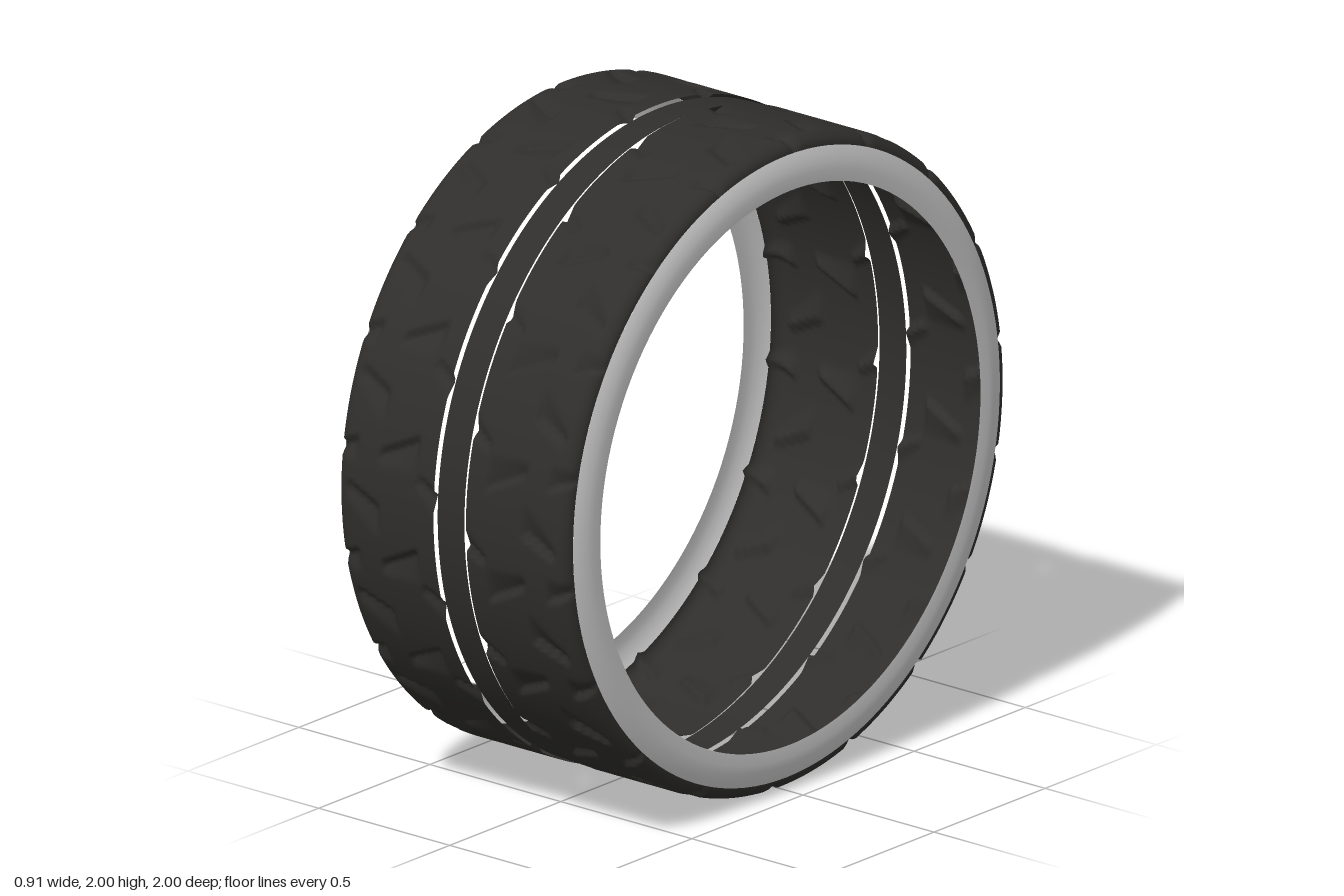
import * as THREE from 'three';
import { mergeVertices } from 'three/addons/utils/BufferGeometryUtils.js';

const rubber = new THREE.MeshStandardMaterial({ color: 0x2f2e2c, side: THREE.DoubleSide });
const grey = new THREE.MeshStandardMaterial({ color: 0xcccccc, side: THREE.DoubleSide });

// Slanted wedge cuts, repeated round the tread: x range, slope, angle offset, ramp length
const PITCHES = 18;
const CUTS = [
  { x0: 0.27, x1: 0.40, slope: -0.45, at: 0, ramp: 0.10 },
  { x0: 0.13, x1: 0.28, slope: 0.5, at: 0.17, ramp: 0.10 },
  { x0: 0.05, x1: 0.13, slope: -0.5, at: 0.27, ramp: 0.06 },
  { x0: 0.36, x1: 0.45, slope: 0.4, at: 0.2, ramp: 0.07 },
];

// Depth of the tread cuts at a position across (x) and around (angle)
function cutDepth(x, angle) {
  const pitch = (Math.PI * 2) / PITCHES;
  let depth = 0;
  for (const c of CUTS) {
    const along = (x - c.x0) / (c.x1 - c.x0);
    if (along <= 0 || along >= 1) continue;
    let t = angle - c.at - c.slope * (x - (c.x0 + c.x1) / 2);
    t -= pitch * Math.round(t / pitch);
    const ramp = c.ramp * (1 - 0.7 * along); // the wedge narrows to a point
    const wall = t < 0 ? 1 + t / 0.014 : 1 - t / ramp;
    const ends = Math.min(1, along / 0.1, (1 - along) / 0.1);
    depth = Math.max(depth, 0.02 * Math.max(0, wall) * ends);
  }
  return depth;
}

// Surface of revolution about the x axis from [x, radius] pairs
function ring(profile, segments, depthAt) {
  let geo = new THREE.LatheGeometry(profile.map(([x, r]) => new THREE.Vector2(r, x)), segments);
  geo.rotateZ(-Math.PI / 2);
  geo.deleteAttribute('uv');
  geo.deleteAttribute('normal');
  geo = mergeVertices(geo, 1e-5);
  if (depthAt) {
    const p = geo.attributes.position;
    for (let i = 0; i < p.count; i++) {
      const y = p.getY(i), z = p.getZ(i), r = Math.hypot(y, z);
      const k = 1 - depthAt(p.getX(i), Math.atan2(y, z)) / r;
      p.setXYZ(i, p.getX(i), y * k, z * k);
    }
  }
  geo.computeVertexNormals();
  return geo;
}

export function createModel() {
  const tyre = new THREE.Group();
  tyre.name = 'tyre';
  tyre.position.y = 1;

  // Tread profile: flat crown, then a rounded shoulder
  const tread = [];
  for (let i = 0; i <= 32; i++) tread.push([0.062 + (0.385 - 0.062) * i / 32, 1]);
  for (let i = 1; i <= 8; i++) {
    const a = (i / 8) * Math.PI / 2;
    tread.push([0.385 + 0.052 * Math.sin(a), 0.96 + 0.04 * Math.cos(a)]);
  }
  const treadGeo = ring(tread, 480, cutDepth);

  // Sidewall bulging out slightly, then in to the bead edge
  const wallGeo = ring([[0.437, 0.96], [0.446, 0.94], [0.452, 0.915], [0.455, 0.89], [0.452, 0.855]], 128);

  // The two halves are half-turned copies of each other
  for (const [side, turn] of [['left', 0], ['right', Math.PI]]) {
    const half = new THREE.Group();
    half.name = side + 'Half';
    half.rotation.z = turn;
    const band = new THREE.Mesh(treadGeo, rubber);
    band.name = side + 'Tread';
    const wall = new THREE.Mesh(wallGeo, grey);
    wall.name = side + 'Sidewall';
    half.add(band, wall);
    tyre.add(half);
  }

  // Plain centre rib, separated from the tread by open slots
  const rib = new THREE.Mesh(ring([[-0.051, 0.994], [0, 0.996], [0.051, 0.994]], 160), rubber);
  rib.name = 'centreRib';
  tyre.add(rib);

  const root = new THREE.Group();
  root.name = 'model';
  root.add(tyre);
  return root;
}
